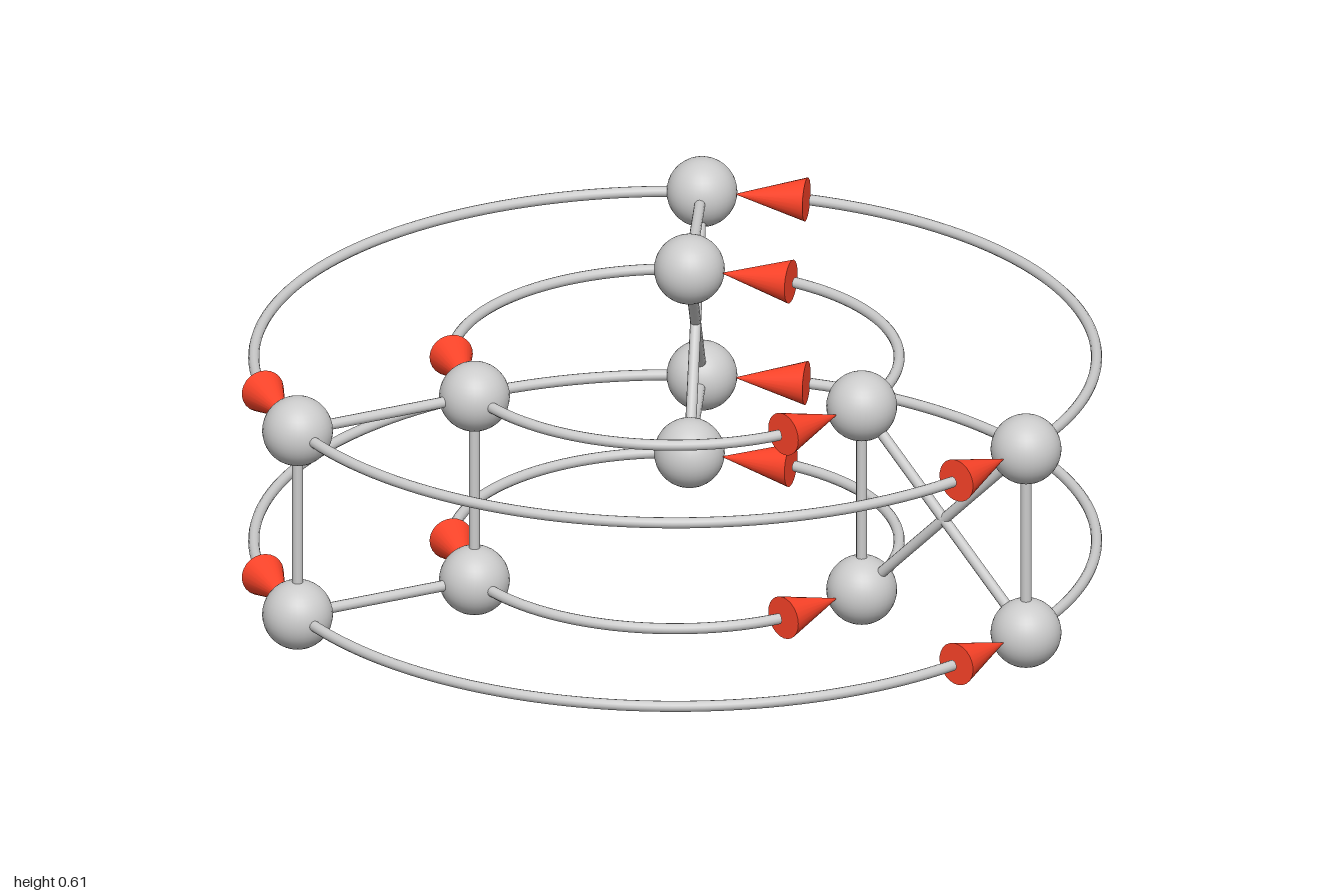
import * as THREE from 'three';

const CX = -0.035;            // ring centre in x
const RADII = [0.95, 0.505];  // outer and inner ring
const LEVELS = [0.08, 0.53];  // lower and upper ring height
const NODE_R = 0.08, ROD_R = 0.0125;
const UP = new THREE.Vector3(0, 1, 0);

// point on a ring; angles run counter-clockwise seen from above
const ringPoint = (r, a, y) => new THREE.Vector3(CX + r * Math.cos(a), y, -r * Math.sin(a));

class RingArc extends THREE.Curve {
  constructor(r, y, from, to) {
    super();
    Object.assign(this, { r, y, from, to });
  }
  getPoint(t, target = new THREE.Vector3()) {
    return target.copy(ringPoint(this.r, this.from + (this.to - this.from) * t, this.y));
  }
}

export function createModel() {
  const model = new THREE.Group();
  const grey = new THREE.MeshStandardMaterial({ color: 0xcccccc });
  const greyTube = new THREE.MeshStandardMaterial({ color: 0xcccccc, side: THREE.DoubleSide });
  const red = new THREE.MeshStandardMaterial({ color: 0xff4429 });
  const ball = new THREE.SphereGeometry(NODE_R, 32, 20);

  const add = (name, geometry, material) => {
    const mesh = new THREE.Mesh(geometry, material);
    mesh.name = name;
    model.add(mesh);
    return mesh;
  };

  // places an upright geometry along the line a -> b
  const along = (mesh, a, b) => {
    mesh.position.copy(a).lerp(b, 0.5);
    mesh.quaternion.setFromUnitVectors(UP, b.clone().sub(a).normalize());
  };

  const rod = (name, a, b) =>
    along(add(name, new THREE.CylinderGeometry(ROD_R, ROD_R, a.distanceTo(b), 12), grey), a, b);

  // three stations of four nodes: each is linked by two kinds of rod pairs
  const stations = [
    ['upright', 'diagonal'],   // +x
    ['radial', 'diagonal'],    // back
    ['upright', 'radial'],     // front
  ];
  const third = Math.PI * 2 / 3;

  stations.forEach((links, i) => {
    const angle = i * third;
    // p[ring][level]
    const p = RADII.map(r => LEVELS.map(y => ringPoint(r, angle, y)));
    const pairs = {
      upright: [[p[0][0], p[0][1]], [p[1][0], p[1][1]]],
      radial: [[p[0][0], p[1][0]], [p[0][1], p[1][1]]],
      diagonal: [[p[0][0], p[1][1]], [p[0][1], p[1][0]]],
    };
    links.forEach(kind => pairs[kind].forEach(([a, b]) => rod(kind + 'Rod', a, b)));

    RADII.forEach((r, ring) => LEVELS.forEach((y, level) => {
      const node = p[ring][level];
      add('node', ball, grey).position.copy(node);

      // angle subtended by a straight distance on this ring
      const turn = d => 2 * Math.asin(d / (2 * r));

      // arc arriving at this node, stopping just behind its arrowhead
      const arc = new RingArc(r, y, angle - third, angle - turn(0.25));
      add('ringArc', new THREE.TubeGeometry(arc, 48, ROD_R, 12), greyTube);

      // arrowhead aimed at the node centre, its tip on the ball
      const base = ringPoint(r, angle - turn(0.24), y);
      const tip = node.clone().lerp(base, 0.075 / 0.24);
      along(add('arrowhead', new THREE.ConeGeometry(0.05, base.distanceTo(tip), 24), red), base, tip);
    }));
  });

  return model;
}
